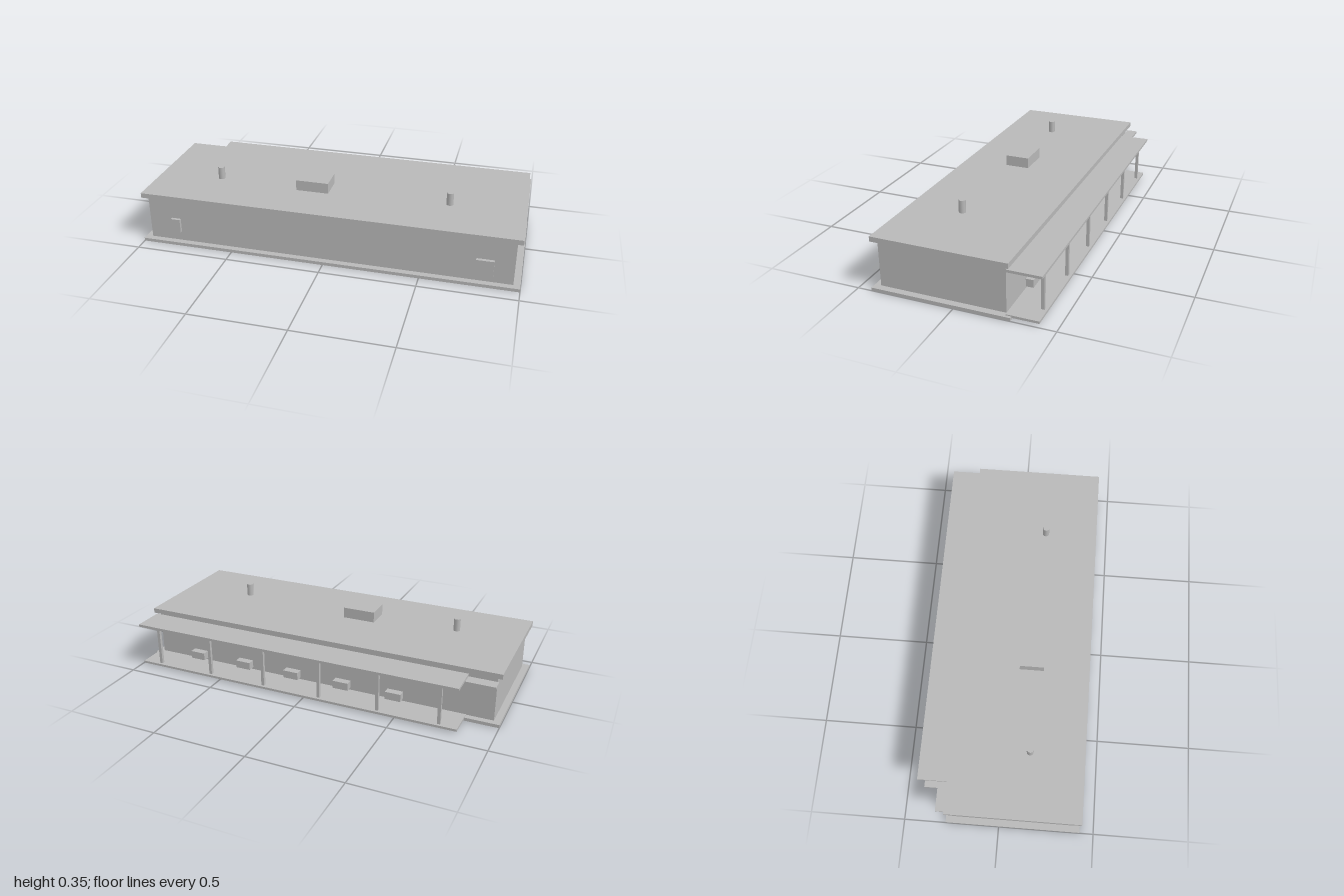
import * as THREE from 'three';

export function createModel() {
  const model = new THREE.Group();
  model.name = 'building';
  const grey = new THREE.MeshStandardMaterial({ color: 0xb8b8b8 });
  grey.name = 'plain grey';

  // box given by its minimum and maximum on each axis
  function box(name, [x0, x1], [y0, y1], [z0, z1]) {
    const mesh = new THREE.Mesh(new THREE.BoxGeometry(x1 - x0, y1 - y0, z1 - z0), grey);
    mesh.position.set((x0 + x1) / 2, (y0 + y1) / 2, (z0 + z1) / 2);
    mesh.name = name;
    model.add(mesh);
  }

  // main block
  box('foundation', [-1, 1], [0, 0.017], [-0.281, 0.427]);
  box('walls', [-0.965, 0.965], [0.017, 0.259], [-0.249, 0.395]);
  box('roof', [-0.993, 0.993], [0.259, 0.285], [-0.272, 0.42]);

  // rooftop unit and vent pipes
  box('roofUnit', [-0.21, -0.035], [0.285, 0.342], [0.05, 0.178]);
  for (const x of [-0.648, 0.602]) {
    const vent = new THREE.Mesh(new THREE.CylinderGeometry(0.018, 0.018, 0.067, 12), grey);
    vent.position.set(x, 0.3185, 0.137);
    vent.name = 'ventPipe';
    model.add(vent);
  }

  // service boxes just off the front wall
  box('meterBox', [-0.835, -0.785], [0.075, 0.151], [0.404, 0.42]);
  box('electricalPanel', [0.776, 0.865], [0.06, 0.148], [0.404, 0.422]);

  // rear porch
  box('porchDeck', [-0.825, 0.985], [0.01, 0.022], [-0.414, -0.254]);
  box('porchCanopy', [-0.825, 0.985], [0.236, 0.249], [-0.427, -0.258]);
  for (let i = 0; i < 6; i++) {
    const x = 0.88 - i * 0.322;
    box('porchPost', [x - 0.008, x + 0.008], [0.022, 0.236], [-0.4, -0.384]);
  }

  // small canopy at the rear corner
  box('doorCanopy', [-0.975, -0.77], [0.224, 0.236], [-0.32, -0.26]);

  // row of wall units under the porch
  for (let i = 0; i < 5; i++) {
    const x = 0.707 - i * 0.29;
    box('wallUnit', [x - 0.042, x + 0.042], [0.034, 0.075], [-0.293, -0.254]);
  }

  return model;
}
